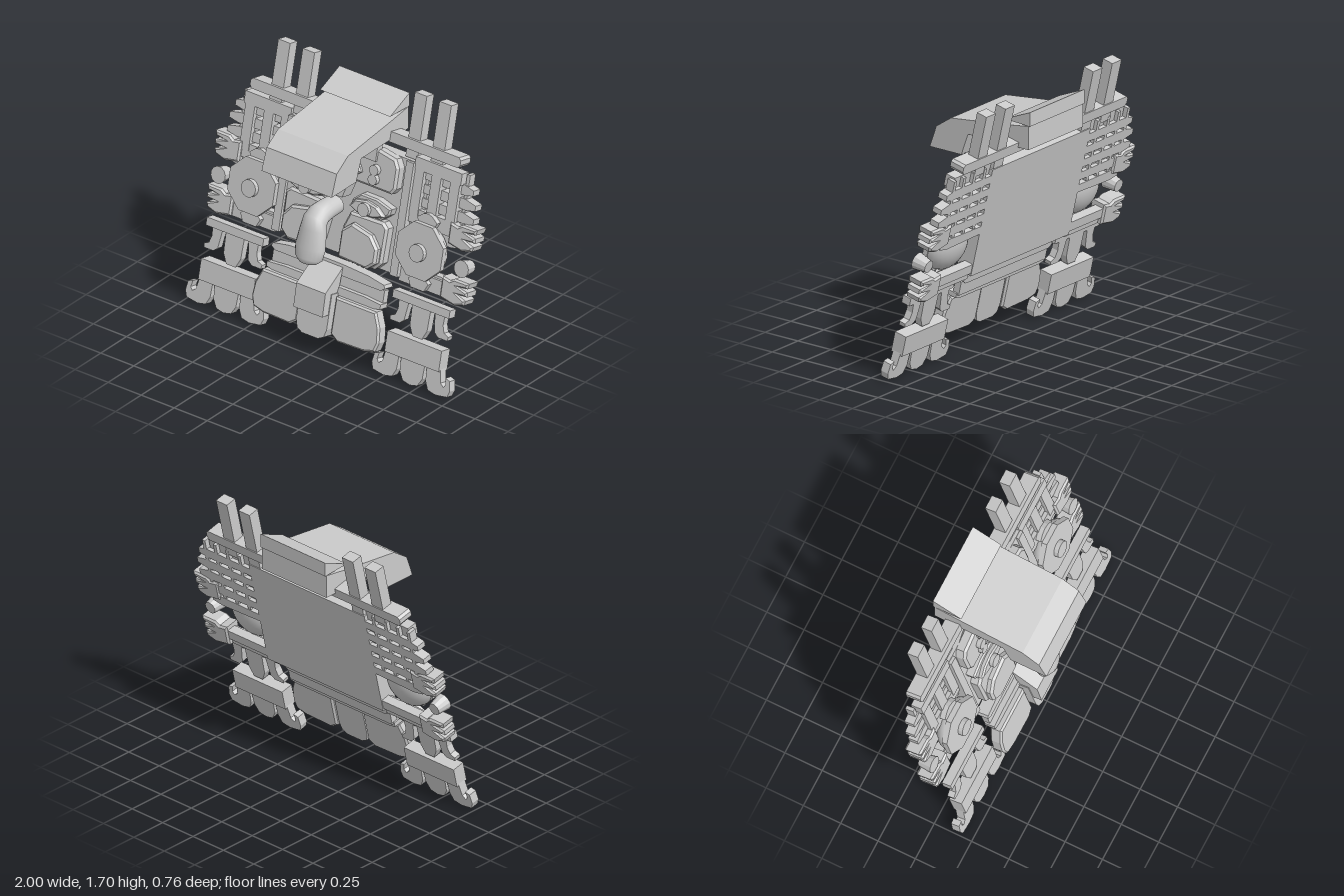
import * as THREE from 'three';

const TILT = 0.23, S = Math.sin(TILT), C = Math.cos(TILT);
const mat = new THREE.MeshStandardMaterial({ color: 0xcccccc, flatShading: true, side: THREE.DoubleSide });
const smooth = new THREE.MeshStandardMaterial({ color: 0xcccccc, side: THREE.DoubleSide });

// height on the leaning plane whose point at depth w stands at height y
const lean = (y, w) => (y - w * S) / C;

export function createModel() {
  const model = new THREE.Group();
  model.name = 'carvedMask';
  const mask = new THREE.Group();
  mask.name = 'leaningMask';
  mask.rotation.x = -TILT;
  model.add(mask);

  const add = (name, geo, parent = mask, m = mat) => {
    const mesh = new THREE.Mesh(geo, m);
    mesh.name = name;
    parent.add(mesh);
    return mesh;
  };
  // plate cut from an outline, between depths w0 and w1, with optional small bevel
  const plate = (name, pts, w0, w1, side = 1, bevel = 0) => {
    const shape = new THREE.Shape(pts.map(([x, y]) => new THREE.Vector2(x * side, lean(y, w1))));
    const geo = new THREE.ExtrudeGeometry(shape, {
      depth: w1 - w0 - bevel, bevelEnabled: bevel > 0, bevelThickness: bevel,
      bevelSize: bevel, bevelOffset: -bevel, bevelSegments: 1,
    });
    geo.translate(0, 0, w0);
    return add(name, geo);
  };
  const bar = (name, x0, x1, y0, y1, w0, w1, side = 1) =>
    plate(name, [[x0, y0], [x1, y0], [x1, y1], [x0, y1]], w0, w1, side);
  // round part facing forward
  const round = (name, x, y, r, w0, w1, sides = 16, rBack = r) => {
    const geo = new THREE.CylinderGeometry(r, rBack, w1 - w0, sides);
    geo.rotateY(Math.PI / sides);
    geo.rotateX(Math.PI / 2);
    geo.translate(x, lean(y, w1), (w0 + w1) / 2);
    return add(name, geo);
  };
  // symmetric outline from its right half
  const both = (half) => [...half, ...half.map(([x, y]) => [-x, y]).reverse()];

  // back panel and crossbar
  bar('facePanel', -0.475, 0.475, 0.59, 1.3, 0.036, 0.13);
  plate('topCrossbar', both([[0.78, 1.36], [0.795, 1.38], [0.795, 1.41], [0.78, 1.425]]), 0.03, 0.13);

  // forehead
  plate('forehead', both([[0.37, 1.09], [0.4, 1.13], [0.4, 1.26], [0.37, 1.31], [0.25, 1.33]]), 0.13, 0.195, 1, 0.015);
  bar('foreheadCrest', -0.24, 0.24, 1.26, 1.39, 0.16, 0.21);
  plate('foreheadOrnament', both([[0.05, 1.12], [0.1, 1.13], [0.15, 1.17], [0.13, 1.21], [0.06, 1.2]]), 0.19, 0.22, 1, 0.01);
  plate('noseBridge', both([[0.065, 1.0], [0.095, 1.1]]), 0.16, 0.25);

  // visor and rear flap, cut from side profiles
  const sideProfile = (name, pts, half) => {
    const shape = new THREE.Shape(pts.map(([z, y]) => new THREE.Vector2(-z, y)));
    const geo = new THREE.ExtrudeGeometry(shape, { depth: half * 2, bevelEnabled: false });
    geo.translate(0, 0, -half);
    geo.rotateY(Math.PI / 2);
    return add(name, geo, model);
  };
  sideProfile('visor', [[0.38, 1.23], [0.33, 1.37], [0.22, 1.445], [-0.2, 1.495], [-0.37, 1.52],
    [-0.37, 1.37], [0.09, 1.37], [0.14, 1.23]], 0.265);
  sideProfile('visorFlap', [[-0.19, 1.53], [-0.38, 1.61], [-0.38, 1.52]], 0.265);

  // hooked nose: oval rings [z, y, direction angle, halfWidth, halfThickness]
  const rings = [[0.0, 0.925, 0, 0.065, 0.06], [0.1, 0.93, 0, 0.07, 0.064], [0.16, 0.925, 0.2, 0.075, 0.066],
    [0.2, 0.9, 0.75, 0.08, 0.07], [0.215, 0.85, 1.3, 0.09, 0.062], [0.245, 0.74, 1.33, 0.105, 0.06],
    [0.262, 0.675, 1.33, 0.095, 0.058], [0.267, 0.645, 1.33, 0.06, 0.052], [0.267, 0.643, 1.33, 0, 0]];
  const N = 20, pos = [], idx = [];
  rings.forEach(([z, y, a, hw, ht], r) => {
    for (let i = 0; i < N; i++) {
      const t = (i / N) * Math.PI * 2, k = Math.sin(t) * ht;
      pos.push(Math.cos(t) * hw, y + k * Math.cos(a), z + k * Math.sin(a));
      if (r) {
        const p = (r - 1) * N + i, q = (r - 1) * N + (i + 1) % N;
        idx.push(p, q, p + N, q, q + N, p + N);
      }
    }
  });
  const nose = new THREE.BufferGeometry();
  nose.setAttribute('position', new THREE.Float32BufferAttribute(pos, 3));
  nose.setIndex(idx);
  nose.computeVertexNormals();
  add('nose', nose, model, smooth);

  // mouth and protruding tongue
  plate('upperLip', both([[0.4, 0.5], [0.43, 0.52], [0.42, 0.54], [0.3, 0.56], [0.1, 0.57]]), 0.11, 0.19);
  bar('teeth', -0.42, 0.42, 0.41, 0.5, 0.13, 0.175);
  plate('lowerLip', both([[0.38, 0.39], [0.43, 0.4], [0.43, 0.43], [0.3, 0.44]]), 0.14, 0.21);
  plate('chin', both([[0.06, 0.13], [0.1, 0.15], [0.115, 0.2], [0.115, 0.42]]), 0.18, 0.275);
  sideProfile('tongue', [[0.07, 0.555], [0.24, 0.45], [0.27, 0.3], [0.2, 0.29], [0.1, 0.45]], 0.11);

  const hand = [[0.79, 0], [0.79, 0.13], [0.85, 0.12], [0.88, 0.14], [0.99, 0.14], [0.98, 0.105], [0.9, 0.1], [0.985, 0.085],
    [0.985, 0.055], [0.9, 0.055], [0.98, 0.03], [0.97, 0], [0.9, -0.02]];
  const bigCurl = [[0.81, 0.17], [0.91, 0.17], [0.925, 0.09], [0.95, 0.07], [0.965, 0.09], [0.955, 0.13],
    [0.99, 0.12], [1, 0.06], [0.985, 0.02], [0.9, 0.008], [0.84, 0.02], [0.815, 0.07]];
  const smallCurl = [[0.8, 0.51], [0.88, 0.51], [0.875, 0.43], [0.89, 0.385], [0.925, 0.37], [0.92, 0.345],
    [0.85, 0.345], [0.82, 0.37], [0.81, 0.44]];
  const flip = (pts) => pts.map(([x, y]) => [1.41 - x, y]);

  for (const s of [1, -1]) {
    // eye, brow dots and cheek
    plate('eyeRim', [[0.09, 0.94], [0.14, 0.915], [0.32, 0.91], [0.38, 0.96], [0.39, 1.0], [0.28, 1.03], [0.16, 1.03], [0.1, 0.98]], 0.12, 0.19, s, 0.01);
    plate('eye', [[0.1, 0.95], [0.16, 0.925], [0.28, 0.925], [0.36, 0.955], [0.3, 1.0], [0.22, 1.015], [0.14, 1.0]], 0.18, 0.22, s, 0.01);
    round('pupil', 0.225 * s, 0.97, 0.042, 0.21, 0.245);
    round('upperBrowDot', 0.245 * s, 1.215, 0.033, 0.19, 0.225);
    round('lowerBrowDot', 0.245 * s, 1.155, 0.033, 0.19, 0.225);
    plate('cheek', [[0.09, 0.61], [0.33, 0.61], [0.38, 0.66], [0.385, 0.88], [0.35, 0.91], [0.1, 0.9], [0.06, 0.8]], 0.12, 0.195, s, 0.015);
    plate('cheekPad', [[0.08, 0.63], [0.3, 0.62], [0.36, 0.67], [0.36, 0.76], [0.3, 0.83], [0.15, 0.86], [0.08, 0.8]], 0.19, 0.235, s, 0.015);
    bar('faceBorder', 0.42, 0.475, 0.59, 1.3, 0.12, 0.15, s);

    // upright posts
    for (const x of [0.425, 0.61]) bar('topPost', x - 0.045, x + 0.045, 1.3, 1.7, 0.037, 0.11, s);

    // wing lattice: frame, uprights and pointed slats
    bar('wingFrame', 0.47, 0.82, 1.26, 1.335, 0.06, 0.13, s);
    for (const x of [0.505, 0.635, 0.775]) bar('wingUpright', x - 0.035, x + 0.035, 0.98, 1.3, 0.06, 0.125, s);
    [0.9, 0.93, 0.93, 0.92, 0.86].forEach((tip, i) => {
      const y = 1.23 - i * 0.085;
      plate('wingSlat', [[0.42, y - 0.025], [tip - 0.07, y - 0.035], [tip, y - 0.022], [tip, y + 0.012],
        [tip - 0.08, y + 0.03], [0.42, y + 0.025]], 0.036, 0.1, s);
    });
    for (const x of [0.55, 0.65, 0.75, 0.84]) bar('latticeRib', x - 0.012, x + 0.012, 0.92, 1.32, 0.036, 0.09, s);
    bar('lowerWingBar', 0.42, 0.85, 0.6, 0.66, 0.04, 0.1, s);

    // ear disc with boss, domed back and petals
    round('earDisc', 0.635 * s, 0.82, 0.185, 0.155, 0.19, 8);
    round('earBoss', 0.635 * s, 0.82, 0.055, 0.18, 0.22);
    const dome = new THREE.SphereGeometry(0.17, 24, 8, 0, Math.PI * 2, 0, Math.PI / 2);
    dome.scale(1, 0.65, 1);
    dome.rotateX(-Math.PI / 2);
    dome.translate(0.635 * s, lean(0.82, 0.19), 0.157);
    add('earDome', dome, mask, smooth);
    for (const y of [1.0, 0.62])
      plate('earPetal', [[0.585, y - 0.05], [0.685, y - 0.05], [0.71, y], [0.67, y + 0.03], [0.635, y + 0.04], [0.6, y + 0.03], [0.56, y]], 0.11, 0.155, s);
    for (const y of [0.97, 0.6]) bar('arm', 0.47, 0.82, y - 0.04, y + 0.05, 0.06, 0.12, s);

    // hands and thumb
    for (const y of [0.9, 0.565]) plate('hand', hand.map(([x, h]) => [x, y + h]), 0.04, 0.14, s, 0.012);
    round('thumb', 0.92 * s, 0.78, 0.055, 0.05, 0.14, 12, 0.04);

    // small claws under the ear
    bar('clawBar', 0.49, 0.92, 0.49, 0.54, 0.13, 0.19, s);
    plate('smallMiddleClaw', [[0.635, 0.51], [0.775, 0.51], [0.77, 0.36], [0.74, 0.3], [0.67, 0.3], [0.64, 0.36]], 0.13, 0.18, s);
    for (const pts of [smallCurl, flip(smallCurl)]) plate('smallCurledClaw', pts, 0.13, 0.175, s);

    // foot with three large claws
    bar('footBlock', 0.5, 0.91, 0.16, 0.29, 0.115, 0.2, s);
    plate('middleClaw', [[0.615, 0.17], [0.795, 0.17], [0.79, 0.07], [0.76, 0.02], [0.705, 0.008], [0.65, 0.02], [0.62, 0.07]], 0.13, 0.185, s);
    for (const pts of [bigCurl, flip(bigCurl)]) plate('curledClaw', pts, 0.13, 0.185, s);

    // lower jaw lobe
    plate('jawLobe', [[0.125, 0.17], [0.18, 0.135], [0.38, 0.14], [0.46, 0.16], [0.48, 0.22], [0.47, 0.31], [0.43, 0.4], [0.125, 0.4]], 0.18, 0.25, s, 0.012);
  }
  return model;
}
